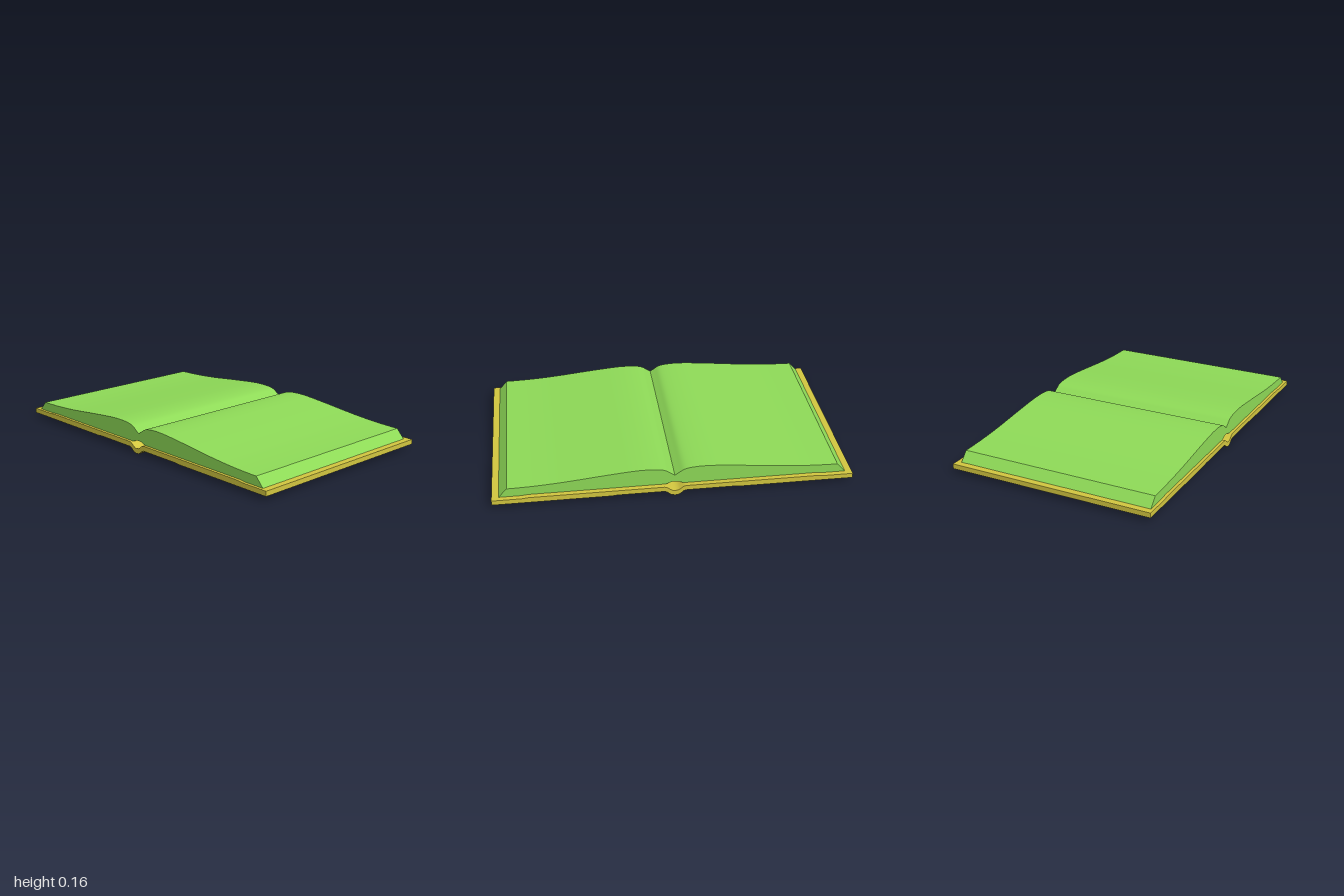
import * as THREE from 'three';
import { toCreasedNormals } from 'three/addons/utils/BufferGeometryUtils.js';

const material = (color) => new THREE.MeshStandardMaterial({ color });

// Extrudes a symmetric cross-section along z; both edges run from x = 0 outwards.
function symmetricSlab(name, top, bottom, zBack, zFront, mat) {
  const half = [...bottom, ...[...top].reverse()];
  const mirrored = [...half].reverse().slice(1, -1).map(([x, y]) => [-x, y]).filter(([x]) => x !== 0);
  const shape = new THREE.Shape([...half, ...mirrored].map(([x, y]) => new THREE.Vector2(x, y)));
  const geometry = new THREE.ExtrudeGeometry(shape, { depth: zFront - zBack, bevelEnabled: false });
  geometry.translate(0, 0, zBack);
  const mesh = new THREE.Mesh(toCreasedNormals(geometry, 0.5), mat);
  mesh.name = name;
  return mesh;
}

export function createModel() {
  const book = new THREE.Group();
  book.name = 'openBook';
  const coverMat = material(0xd2c63f);
  const pageMat = material(0x8eda57);
  const panelMat = material(0xcf8a3c);

  // Cover boards joined by a spine that dips below them
  const coverTop = [[0, 0.03], [0.015, 0.032], [0.03, 0.041], [0.045, 0.054], [0.06, 0.058], [0.8, 0.058], [0.84, 0.054], [1, 0.054]];
  const coverBottom = [[0, 0], [0.018, 0.003], [0.033, 0.012], [0.046, 0.024], [0.06, 0.029], [0.32, 0.029], [0.35, 0.026], [1, 0.026]];
  book.add(symmetricSlab('cover', coverTop, coverBottom, -0.597, 0.597, coverMat));

  // Page block: swelling near the gutter, sloped at the fore edges
  const swell = new THREE.SplineCurve([
    [0, 0.113], [0.025, 0.13], [0.055, 0.149], [0.1, 0.158], [0.16, 0.161], [0.24, 0.158],
    [0.4, 0.143], [0.6, 0.122], [0.75, 0.111], [0.86, 0.107], [0.915, 0.106],
  ].map(([x, y]) => new THREE.Vector2(x, y)));
  const pageTop = [...swell.getPoints(30).map((p) => [p.x, p.y]), [0.962, 0.054]];
  const pageBottom = [[0, 0.071], [0.02, 0.069], [0.04, 0.061], [0.055, 0.057], [0.8, 0.057], [0.84, 0.053]];
  book.add(symmetricSlab('pages', pageTop, pageBottom, -0.568, 0.58, pageMat));

  // Thin inset panels under both boards
  for (const side of [1, -1]) {
    const panel = new THREE.Mesh(new THREE.BoxGeometry(0.87, 0.008, 1.11), panelMat);
    panel.name = side > 0 ? 'leftPanel' : 'rightPanel';
    panel.position.set(side * 0.525, 0.028, 0);
    book.add(panel);
  }
  return book;
}
